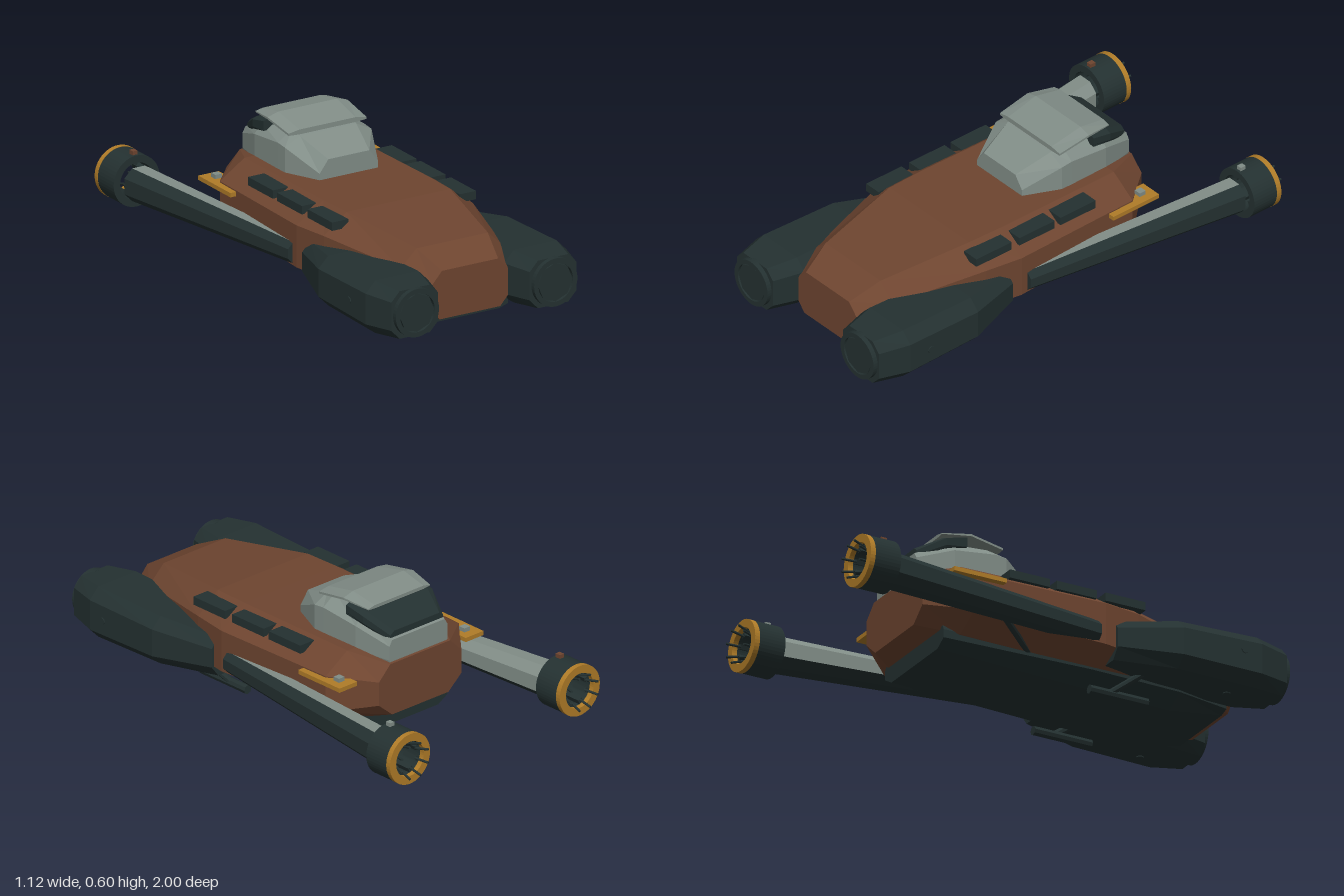
import * as THREE from 'three';

const mat = (name, color) => {
  const m = new THREE.MeshStandardMaterial({ color, flatShading: true });
  m.name = name;
  return m;
};

// Eight-sided cross-section, counter-clockwise seen from +z
function oct(z, cx, wt, w, wb, yb, yl, yu, yt) {
  return [[w, yl], [w, yu], [wt, yt], [-wt, yt], [-w, yu], [-w, yl], [-wb, yb], [wb, yb]]
    .map(([x, y]) => [cx + x, y, z]);
}

// Skin between sections ordered from back to front; alt lists sides using the second material
function loft(sections, alt = []) {
  const main = [], second = [], n = sections[0].length;
  const tri = (list, ...pts) => pts.forEach((p) => list.push(...p));
  for (let k = 0; k + 1 < sections.length; k++) {
    const a = sections[k], b = sections[k + 1];
    for (let i = 0; i < n; i++) {
      const j = (i + 1) % n, list = alt.includes(i) ? second : main;
      tri(list, a[i], a[j], b[j], a[i], b[j], b[i]);
    }
  }
  const back = sections[0], front = sections[sections.length - 1];
  for (let i = 1; i + 1 < n; i++) {
    tri(main, back[0], back[i + 1], back[i]);
    tri(main, front[0], front[i], front[i + 1]);
  }
  const g = new THREE.BufferGeometry();
  g.setAttribute('position', new THREE.Float32BufferAttribute([...main, ...second], 3));
  if (second.length) {
    g.addGroup(0, main.length / 3, 0);
    g.addGroup(main.length / 3, second.length / 3, 1);
  }
  g.computeVertexNormals();
  return g;
}

export function createModel() {
  const brown = mat('rust brown', 0x6e4530);
  const dark = mat('dark slate', 0x243131);
  const grey = mat('light grey', 0x818d87);
  const gold = mat('gold', 0xb07c28);
  const model = new THREE.Group();
  model.name = 'hoverCraft';

  const add = (name, geo, material, x = 0, y = 0, z = 0) => {
    const m = new THREE.Mesh(geo, material);
    m.name = name;
    m.position.set(x, y, z);
    model.add(m);
    return m;
  };
  const box = (name, material, w, h, d, x, y, z) =>
    add(name, new THREE.BoxGeometry(w, h, d), material, x, y, z);
  const rod = (name, material, a, b, r) => {
    const p = new THREE.Vector3(...a), q = new THREE.Vector3(...b), d = q.clone().sub(p);
    const m = add(name, new THREE.CylinderGeometry(r, r, d.length(), 8), material);
    m.position.copy(p).add(q).multiplyScalar(0.5);
    m.quaternion.setFromUnitVectors(new THREE.Vector3(0, 1, 0), d.normalize());
    return m;
  };
  // Hollow ring along z, starting at z and running towards +z
  const ring = (name, material, outer, inner, depth, x, y, z) => {
    const s = new THREE.Shape().absarc(0, 0, outer, 0, Math.PI * 2);
    s.holes.push(new THREE.Path().absarc(0, 0, inner, 0, Math.PI * 2, true));
    return add(name, new THREE.ExtrudeGeometry(s, { depth, bevelEnabled: false, curveSegments: 24 }), material, x, y, z);
  };

  // Main hull and belly pan
  add('hull', loft([
    oct(-0.54, 0, 0.16, 0.22, 0.15, 0.15, 0.21, 0.31, 0.37),
    oct(-0.38, 0, 0.24, 0.355, 0.24, 0.11, 0.17, 0.325, 0.40),
    oct(0.2, 0, 0.245, 0.37, 0.25, 0.09, 0.15, 0.325, 0.405),
    oct(0.36, 0, 0.24, 0.345, 0.24, 0.09, 0.15, 0.325, 0.405),
    oct(0.75, 0, 0.165, 0.24, 0.17, 0.095, 0.14, 0.29, 0.36),
    oct(0.88, 0, 0.13, 0.175, 0.14, 0.10, 0.14, 0.25, 0.30),
  ]), brown);
  add('bellyPan', loft([
    oct(-0.45, 0, 0.22, 0.23, 0.18, 0.055, 0.085, 0.12, 0.14),
    oct(0.2, 0, 0.24, 0.26, 0.18, 0.036, 0.085, 0.11, 0.13),
    oct(0.6, 0, 0.23, 0.25, 0.17, 0.036, 0.085, 0.11, 0.13),
    oct(0.84, 0, 0.19, 0.2, 0.16, 0.075, 0.088, 0.105, 0.12),
  ]), dark);

  // Cabin, sloping window and roof visor
  add('cabin', loft([
    oct(-0.53, 0, 0.14, 0.155, 0.15, 0.36, 0.38, 0.44, 0.465),
    oct(-0.38, 0, 0.16, 0.195, 0.19, 0.38, 0.39, 0.49, 0.53),
    oct(-0.2, 0, 0.135, 0.2, 0.2, 0.38, 0.39, 0.51, 0.555),
    oct(-0.15, 0, 0.13, 0.2, 0.2, 0.38, 0.39, 0.505, 0.54),
    oct(0, 0, 0.095, 0.135, 0.135, 0.38, 0.39, 0.43, 0.483),
  ]), grey);
  add('cabinWindow', loft([
    oct(-0.52, 0, 0.12, 0.14, 0.135, 0.45, 0.46, 0.48, 0.495),
    oct(-0.41, 0, 0.16, 0.185, 0.18, 0.50, 0.51, 0.54, 0.55),
    oct(-0.32, 0, 0.165, 0.19, 0.19, 0.52, 0.53, 0.56, 0.57),
  ]), dark);
  add('roofVisor', loft([
    oct(-0.42, 0, 0.13, 0.165, 0.13, 0.56, 0.563, 0.567, 0.574),
    oct(-0.3, 0, 0.135, 0.185, 0.13, 0.575, 0.573, 0.582, 0.596),
    oct(-0.155, 0, 0.13, 0.18, 0.13, 0.545, 0.548, 0.557, 0.565),
  ]), grey);

  for (const s of [1, -1]) {
    // Forward pod with stepped round cap and bolts
    const px = 0.32 * s;
    add('forwardPod', loft([
      oct(0.25, 0.29 * s, 0.05, 0.085, 0.05, 0.105, 0.15, 0.23, 0.27),
      oct(0.5, px, 0.095, 0.14, 0.095, 0.095, 0.14, 0.255, 0.3),
      oct(0.85, px, 0.1, 0.145, 0.1, 0.09, 0.135, 0.262, 0.308),
      oct(0.98, px, 0.07, 0.108, 0.07, 0.1, 0.14, 0.258, 0.298),
    ]), dark);
    ring('podRim', dark, 0.1, 0.08, 0.03, px, 0.2, 0.97);
    rod('podCap', dark, [px, 0.2, 0.97], [px, 0.2, 0.996], 0.08);
    rod('podSideBolt', dark, [0.484 * s, 0.21, 0.76], [0.488 * s, 0.21, 0.76], 0.016);
    rod('podLowerBolt', dark, [0.34 * s, 0.076, 0.76], [0.34 * s, 0.08, 0.76], 0.016);

    // Rear boom with pale upper and inner faces
    add('boom', loft([
      oct(-0.82, 0.45 * s, 0.03, 0.066, 0.03, 0.13, 0.165, 0.23, 0.266),
      oct(0.17, 0.345 * s, 0.02, 0.045, 0.02, 0.155, 0.18, 0.22, 0.245),
    ], s > 0 ? [2, 3, 4] : [0, 1, 2]), [dark, grey]);
    rod('boomStrut', dark, [0.22 * s, 0.1, -0.05], [0.385 * s, 0.17, -0.28], 0.014);

    // Thruster ring with gold lip, teeth and flared prongs
    const rx = 0.453 * s, ry = 0.205;
    ring('thrusterRing', dark, 0.106, 0.076, 0.115, rx, ry, -0.945);
    ring('thrusterLip', gold, 0.107, 0.074, 0.022, rx, ry, -0.967);
    for (let i = 0; i < 8; i++) {
      const a = (i + 0.5) * Math.PI / 4, c = Math.cos(a), n = Math.sin(a);
      box('ringTooth', dark, 0.024, 0.02, 0.07, rx + c * 0.066, ry + n * 0.066, -0.91).rotation.z = a;
      rod('prong', dark, [rx + c * 0.056, ry + n * 0.056, -0.94], [rx + c * 0.075, ry + n * 0.075, -0.997], 0.005);
    }
    box('ringLight', s > 0 ? grey : brown, 0.022, 0.025, 0.025, rx, 0.314, -0.853);

    // Side vents along the hull shoulder
    for (const z of [0.31, 0.09, -0.12]) box('shoulderVent', dark, 0.075, 0.035, 0.18, 0.295 * s, 0.374, z);

    // Gold L-shaped bracket
    box('bracketPlate', gold, 0.095, 0.018, 0.11, 0.337 * s, 0.311, -0.435);
    box('bracketArm', gold, 0.03, 0.018, 0.125, 0.37 * s, 0.311, -0.318);
    box('bracketStud', grey, 0.03, 0.018, 0.03, 0.335 * s, 0.328, -0.435);

    // Landing skid
    rod('skid', dark, [0.22 * s, 0.019, 0.21], [0.22 * s, 0.019, 0.47], 0.019);
    rod('skidStrut', dark, [0.22 * s, 0.02, 0.3], [0.275 * s, 0.11, 0.42], 0.014);
  }
  return model;
}
